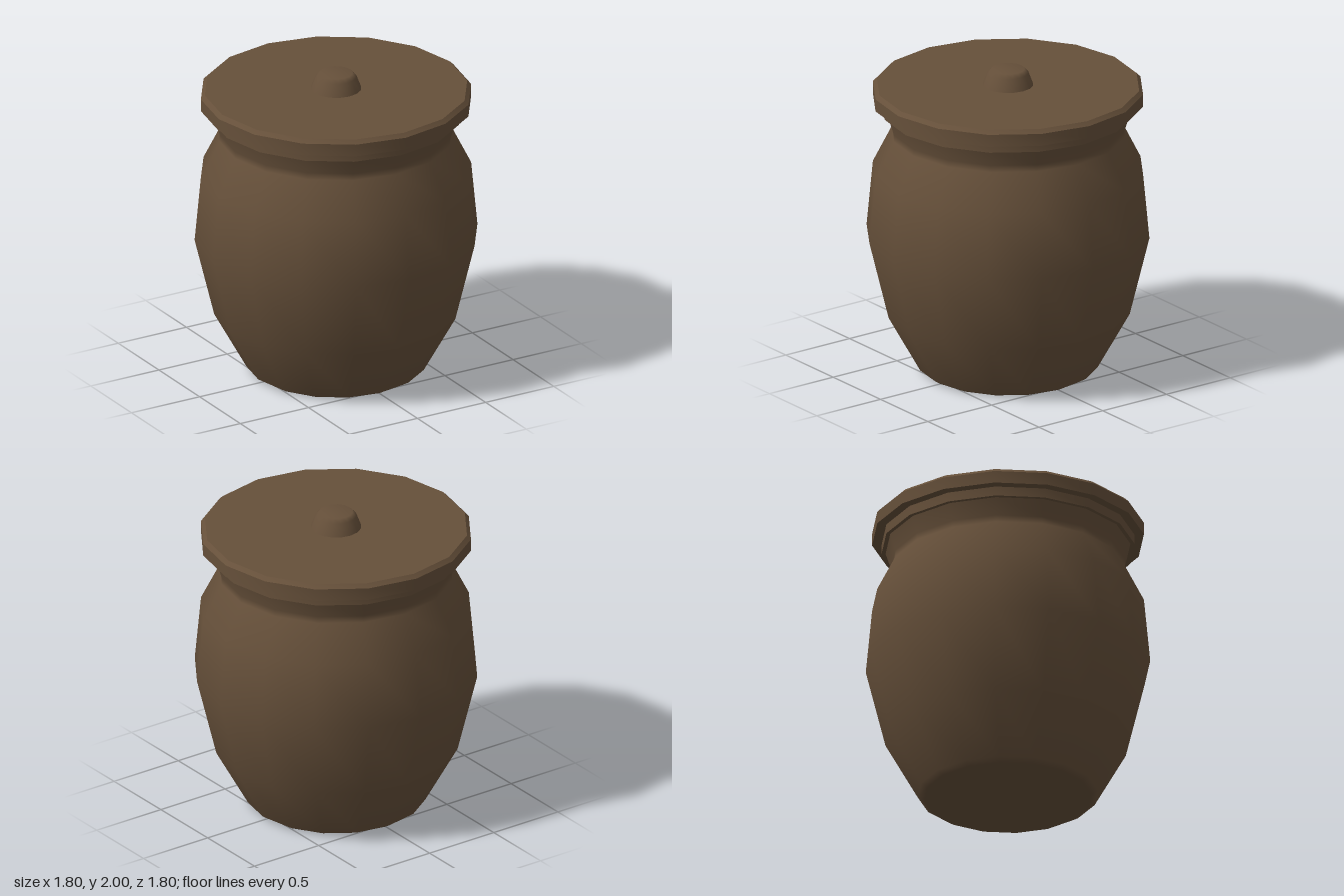
import * as THREE from 'three';
import { toCreasedNormals } from 'three/addons/utils/BufferGeometryUtils.js';

const SIDES = 16;

// Revolve a bottom-to-top [radius, height] profile around the y axis
function turned(name, profile, material, crease) {
  const points = profile.map(([r, y]) => new THREE.Vector2(r, y));
  let geometry = new THREE.LatheGeometry(points, SIDES);
  if (crease) geometry = toCreasedNormals(geometry, crease);
  const mesh = new THREE.Mesh(geometry, material);
  mesh.name = name;
  return mesh;
}

export function createModel() {
  const model = new THREE.Group();
  model.name = 'liddedPot';

  const clay = new THREE.MeshStandardMaterial({ color: 0x66503a });
  clay.name = 'brown clay';

  // Rounded belly, pinched neck and flared mouth
  model.add(turned('potBody', [
    [0, 0], [0.53, 0], [0.57, 0.025], [0.775, 0.395], [0.9, 0.91],
    [0.86, 1.335], [0.74, 1.575], [0.74, 1.62], [0.775, 1.73],
  ], clay));

  // Collar around the mouth, closed above and below
  model.add(turned('rim', [
    [0, 1.728], [0.8, 1.728], [0.8, 1.79], [0, 1.79],
  ], clay, 0.5));

  // Overhanging lid with a bevelled top edge
  model.add(turned('lid', [
    [0, 1.79], [0.86, 1.79], [0.86, 1.87], [0.835, 1.895], [0, 1.895],
  ], clay, 0.5));

  // Small tapered knob
  model.add(turned('lidKnob', [
    [0.162, 1.89], [0.13, 1.975], [0.105, 2], [0, 2],
  ], clay));

  return model;
}
